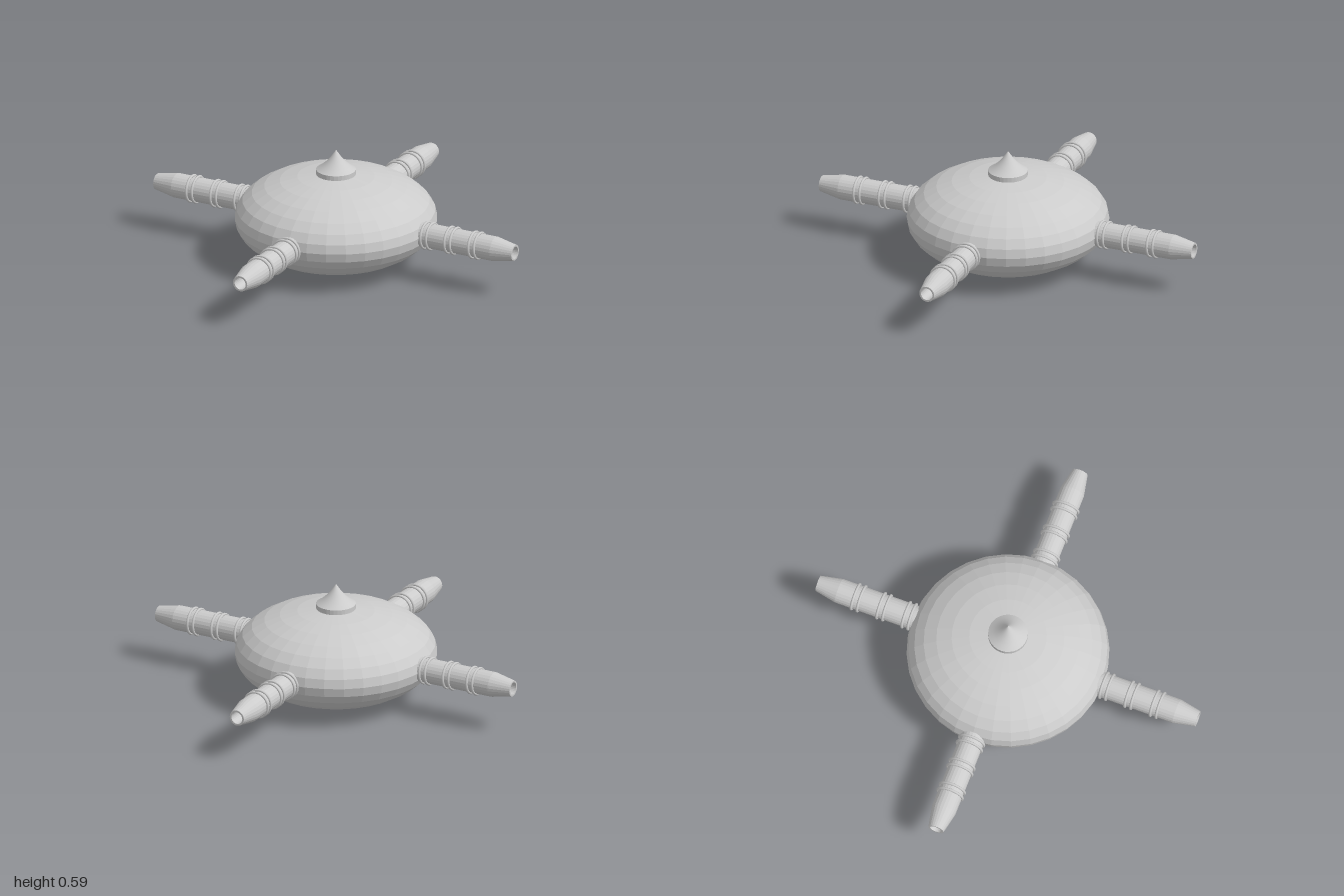
import * as THREE from 'three';

const CENTRE_Y = 0.235;

export function createModel() {
  const model = new THREE.Group();
  const flat = new THREE.MeshStandardMaterial({ color: 0xcccccc, flatShading: true });
  const smooth = new THREE.MeshStandardMaterial({ color: 0xcccccc, side: THREE.DoubleSide });

  const add = (parent, name, geometry, material) => {
    const mesh = new THREE.Mesh(geometry, material);
    mesh.name = name;
    parent.add(mesh);
    return mesh;
  };
  const lathe = (points, sides) =>
    new THREE.LatheGeometry(points.map(([r, y]) => new THREE.Vector2(r, y)), sides);

  // Flattened faceted body
  const body = add(model, 'body', new THREE.SphereGeometry(0.5, 32, 16), flat);
  body.scale.y = 0.47;
  body.position.y = CENTRE_Y;

  // Cap on top: a short collar under a flared point
  add(model, 'capCollar', lathe([[0, 0.45], [0.098, 0.45], [0.098, 0.49], [0, 0.49]], 32), flat);
  add(model, 'capPoint', lathe([
    [0.098, 0.49], [0.075, 0.505], [0.05, 0.527], [0.028, 0.552], [0.012, 0.575], [0, 0.592],
  ], 32), smooth);

  // Four hollow nozzles, each with three pairs of rings
  const tube = lathe([
    [0.062, 0.42], [0.062, 0.89], [0.04, 1], [0.031, 1], [0.031, 0.86], [0, 0.86],
  ], 24);
  const ring = new THREE.TorusGeometry(0.065, 0.007, 8, 24);
  for (let i = 0; i < 4; i++) {
    const nozzle = new THREE.Group();
    nozzle.name = ['frontNozzle', 'leftNozzle', 'backNozzle', 'rightNozzle'][i];
    nozzle.position.y = CENTRE_Y;
    nozzle.rotation.y = i * Math.PI / 2;
    add(nozzle, 'nozzleTube', tube, flat).rotation.x = Math.PI / 2;
    for (const start of [0.505, 0.638, 0.772]) {
      for (const offset of [0, 0.031]) {
        add(nozzle, 'nozzleRing', ring, smooth).position.z = start + offset;
      }
    }
    model.add(nozzle);
  }
  return model;
}
